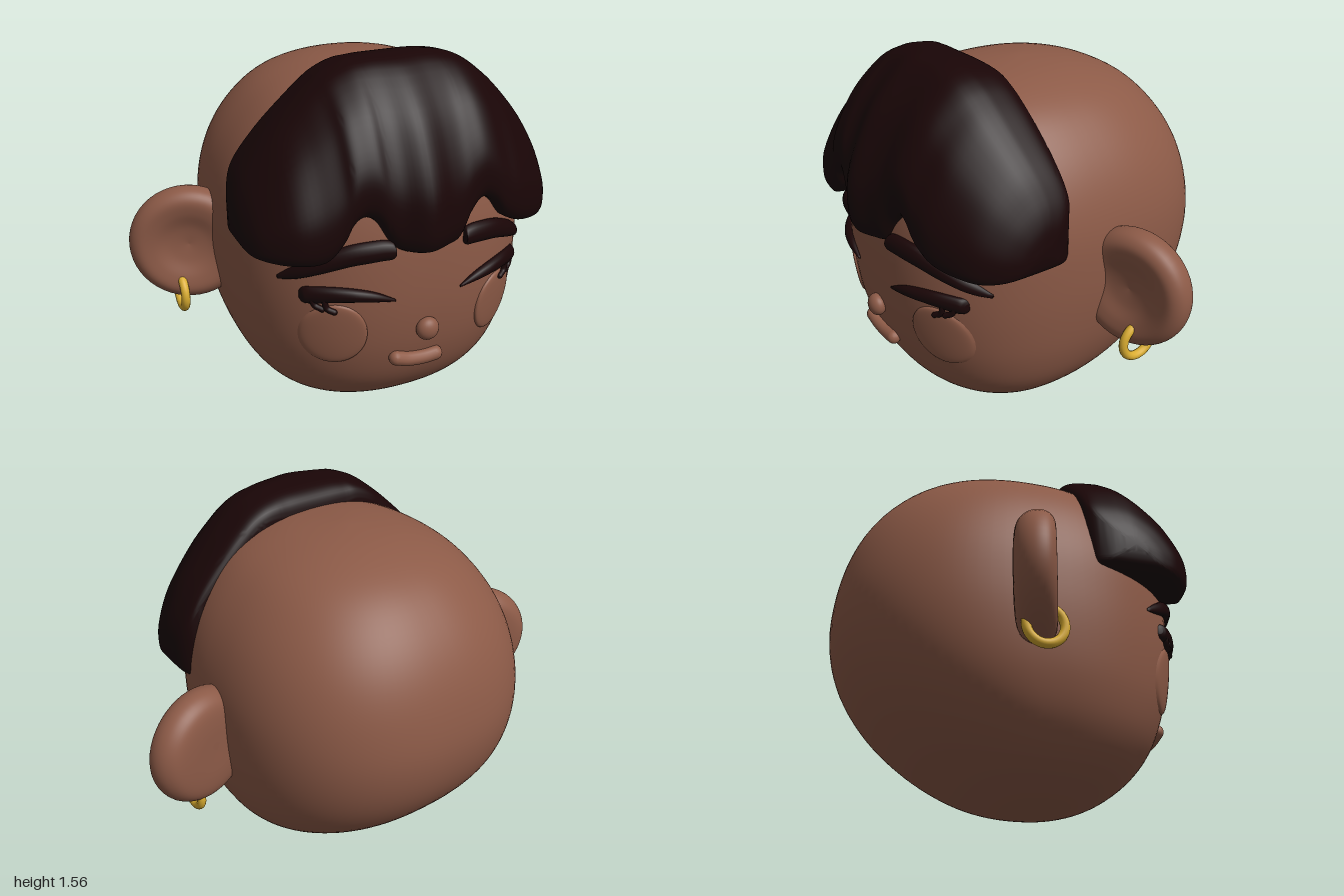
import * as THREE from 'three';
import { mergeVertices, toCreasedNormals } from 'three/addons/utils/BufferGeometryUtils.js';

const mat = (name, color) => Object.assign(new THREE.MeshStandardMaterial({ color }), { name });

// Smooth interpolation through table rows, t from 0 to 1
function sample(rows, t) {
  const last = rows.length - 1, f = Math.min(Math.max(t, 0), 1) * last;
  const i = Math.min(Math.floor(f), last - 1), u = f - i;
  const row = k => rows[Math.min(Math.max(k, 0), last)];
  return rows[0].map((_, c) => {
    const [a, b, d, e] = [row(i - 1)[c], row(i)[c], row(i + 1)[c], row(i + 2)[c]];
    return b + 0.5 * u * (d - a + u * (2 * a - 5 * b + 4 * d - e + u * (3 * (b - d) + e - a)));
  });
}

// Closed skin over rings of [x, y, z]; ends are capped, faces turned outwards
function loft(rings) {
  const mid = r => r.map(() => [0, 1, 2].map(c => r.reduce((s, p) => s + p[c], 0) / r.length));
  const all = [mid(rings[0]), ...rings, mid(rings[rings.length - 1])];
  const n = rings[0].length, idx = [], pts = all.flat();
  for (let i = 0; i < all.length - 1; i++) for (let j = 0; j < n; j++) {
    const a = i * n + j, b = i * n + (j + 1) % n, c = a + n, d = b + n;
    if (i > 0) idx.push(a, b, c);
    if (i < all.length - 2) idx.push(b, d, c);
    if (i === 0) idx.push(a, d, c);
  }
  let vol = 0;
  const [A, B, C] = [new THREE.Vector3(), new THREE.Vector3(), new THREE.Vector3()];
  for (let k = 0; k < idx.length; k += 3) {
    A.set(...pts[idx[k]]); B.set(...pts[idx[k + 1]]); C.set(...pts[idx[k + 2]]);
    vol += A.dot(B.cross(C));
  }
  if (vol < 0) idx.reverse();
  let g = new THREE.BufferGeometry();
  g.setAttribute('position', new THREE.Float32BufferAttribute(pts.flat(), 3));
  g.setIndex(idx);
  g = mergeVertices(g, 1e-5);
  g.computeVertexNormals();
  return g;
}

// Head rings from chin to crown: front z, back z, half width
const HEAD = [
  [0.12, 0.12, 0], [0.315, -0.07, 0.225], [0.475, -0.262, 0.43], [0.588, -0.455, 0.55], [0.655, -0.62, 0.622],
  [0.69, -0.732, 0.66], [0.70, -0.778, 0.675], [0.69, -0.762, 0.665], [0.65, -0.703, 0.615],
  [0.575, -0.6, 0.525], [0.46, -0.457, 0.4], [0.26, -0.25, 0.22], [-0.02, -0.02, 0],
];
function headRing(theta) {
  const [zf, zb, w] = sample(HEAD, theta / Math.PI);
  return { m: (zf + zb) / 2, h: (zf - zb) / 2, w: Math.max(w, 0), n: 2.12 + 0.28 * Math.sin(theta) };
}
function headZ(x, y) {
  const { m, h, w, n } = headRing(Math.acos((0.75 - y) / 0.745));
  return m + h * Math.pow(Math.max(0, 1 - Math.pow(Math.abs(x) / w, n)), 1 / n);
}
function headGeometry() {
  const rings = [];
  for (let i = 0; i <= 64; i++) {
    const theta = Math.PI * i / 64, { m, h, w, n } = headRing(theta), ring = [];
    const pow = v => Math.sign(v) * Math.pow(Math.abs(v), 2 / n);
    for (let j = 0; j < 96; j++) {
      const a = j / 96 * Math.PI * 2;
      ring.push([w * pow(Math.cos(a)), 0.75 - 0.745 * Math.cos(theta), m + h * pow(Math.sin(a))]);
    }
    rings.push(ring);
  }
  return loft(rings);
}

// Fringe columns across x: x, lower edge, upper edge, front z, back z
const FRINGE = [
  [-0.688, 0.94, 1.0, 0.42, 0.33], [-0.672, 0.89, 1.08, 0.5, 0.255], [-0.63, 0.872, 1.175, 0.585, 0.195],
  [-0.53, 0.86, 1.308, 0.665, 0.19], [-0.42, 0.862, 1.418, 0.69, 0.19], [-0.35, 0.925, 1.478, 0.695, 0.19],
  [-0.31, 1.0, 1.507, 0.70, 0.19], [-0.265, 1.025, 1.53, 0.70, 0.19], [-0.215, 1.0, 1.548, 0.71, 0.19],
  [-0.17, 0.92, 1.555, 0.72, 0.19], [-0.12, 0.875, 1.56, 0.735, 0.19], [-0.03, 0.862, 1.563, 0.775, 0.19],
  [0.07, 0.865, 1.563, 0.745, 0.19], [0.13, 0.885, 1.56, 0.73, 0.19], [0.18, 0.97, 1.553, 0.715, 0.19],
  [0.235, 1.025, 1.54, 0.705, 0.19], [0.29, 1.0, 1.517, 0.70, 0.19], [0.35, 0.925, 1.478, 0.695, 0.185],
  [0.44, 0.88, 1.4, 0.675, 0.18], [0.57, 0.855, 1.262, 0.6, 0.175], [0.64, 0.86, 1.155, 0.52, 0.18],
  [0.677, 0.885, 1.065, 0.44, 0.225], [0.69, 0.93, 0.98, 0.37, 0.29],
];
// Side profile of a column: depth and height fractions
const LOCK = [
  [0, 0.13], [0.03, 0.04], [0.12, 0], [0.45, -0.01], [0.88, 0], [0.975, 0.05], [1, 0.17], [0.98, 0.35],
  [0.885, 0.56], [0.74, 0.765], [0.515, 0.952], [0.36, 1], [0.25, 1], [0.11, 0.98], [0.03, 0.935], [0, 0.86],
];
function fringeGeometry() {
  const rings = [];
  for (let i = 0; i <= 110; i++) {
    const [x, b, t, zf, zb] = sample(FRINGE, i / 110), ring = [];
    for (let j = 0; j <= 60; j++) {
      const [d, h] = sample(LOCK, j / 60);
      ring.push([x, b + (t - b) * h, zb + (zf - zb) * d]);
    }
    rings.push(ring);
  }
  return toCreasedNormals(loft(rings), 0.9);
}

// Tapered strip lying on the face; rows are x, y, half height
function strokeGeometry(rows, side, depth) {
  const rings = [];
  for (let i = 0; i <= 32; i++) {
    const [x, y, h] = sample(rows, i / 32), d = Math.min(depth, h), ring = [];
    for (let j = 0; j < 16; j++) {
      const a = j / 16 * Math.PI * 2, py = y + h * Math.cos(a);
      ring.push([side * x, py, headZ(x, py) + 0.006 + d * Math.sin(a)]);
    }
    rings.push(ring);
  }
  return loft(rings);
}

// Thin oval following the face, with a short rolled edge
function cheekGeometry(side) {
  const g = new THREE.RingGeometry(0.001, 1, 48, 24), p = g.attributes.position;
  for (let i = 0; i < p.count; i++) {
    const u = p.getX(i), v = p.getY(i), x = side * 0.365 + 0.122 * u, y = 0.517 + 0.145 * v;
    const r = Math.min(1, Math.hypot(u, v));
    p.setXYZ(i, x, y, headZ(x, y) - 0.004 + 0.016 * Math.sqrt(1 - Math.pow(r, 12)));
  }
  g.computeVertexNormals();
  return g;
}

const EAR = [
  [0, -0.08], [0.12, -0.08], [0.2, -0.068], [0.24, -0.035], [0.254, 0.01], [0.242, 0.055],
  [0.205, 0.08], [0.15, 0.075], [0.08, 0.053], [0, 0.042],
];
const BROW = [[0.153, 0.885, 0.026], [0.165, 0.887, 0.038], [0.22, 0.887, 0.042], [0.32, 0.872, 0.042],
  [0.42, 0.832, 0.037], [0.5, 0.785, 0.025], [0.547, 0.752, 0.008]];
const EYE = [[0.145, 0.67, 0.005], [0.22, 0.693, 0.02], [0.3, 0.706, 0.028], [0.38, 0.708, 0.033],
  [0.45, 0.7, 0.036], [0.475, 0.696, 0.032], [0.485, 0.694, 0.015]];
const LASHES = [[[0.45, 0.69], [0.44, 0.66], [0.415, 0.645]], [[0.41, 0.69], [0.4, 0.65], [0.375, 0.635]]];

export function createModel() {
  const model = new THREE.Group();
  model.name = 'characterHead';
  const skin = mat('skin', 0x8c5a47), blush = mat('blush', 0x8f5c48);
  const hair = mat('darkHair', 0x190506), gold = mat('gold', 0xdaad31);
  const add = (name, geo, material, pos = [0, 0, 0]) => {
    const m = new THREE.Mesh(geo, material);
    m.name = name;
    m.position.set(...pos);
    model.add(m);
    return m;
  };
  // Tube with rounded ends along face points
  const softTube = (name, pts, r, lift, material) => {
    const path = pts.map(([x, y]) => new THREE.Vector3(x, y, headZ(x, y) + lift));
    add(name, new THREE.TubeGeometry(new THREE.CatmullRomCurve3(path), 24, r, 14), material);
    for (const e of [path[0], path[path.length - 1]])
      add(name + 'End', new THREE.SphereGeometry(r, 14, 10), material, e.toArray());
  };

  add('head', headGeometry(), skin);
  add('hairFringe', fringeGeometry(), hair);

  // Nose and mouth
  add('nose', new THREE.SphereGeometry(0.049, 24, 18), skin, [0, 0.512, 0.7]).scale.z = 0.75;
  softTube('mouth', [[-0.12, 0.383], [-0.07, 0.367], [0, 0.359], [0.06, 0.362]], 0.031, 0.012, blush);

  for (const s of [1, -1]) {
    const side = s > 0 ? 'left' : 'right';
    add(side + 'Eyebrow', strokeGeometry(BROW, s, 0.028), hair);
    add(side + 'ClosedEye', strokeGeometry(EYE, s, 0.028), hair);
    for (const l of LASHES) softTube(side + 'Lash', l.map(([x, y]) => [s * x, y]), 0.012, 0.016, hair);
    add(side + 'Cheek', cheekGeometry(s), blush);

    // Dished ear turned outwards
    const profile = [];
    for (let i = 0; i <= 48; i++) {
      const [r, h] = sample(EAR, i / 48);
      profile.push(new THREE.Vector2(i % 48 ? Math.max(r, 0) : 0, h));
    }
    const ear = new THREE.LatheGeometry(profile, 48).rotateX(Math.PI / 2);
    add(side + 'Ear', ear, skin, [s * 0.753, 0.715, -0.08]).rotation.y = s * 0.3;

    const ring = new THREE.TorusGeometry(0.074, 0.019, 14, 40).rotateY(Math.PI / 2);
    add(side + 'Earring', ring, gold, [s * 0.81, 0.491, -0.06]);
  }
  return model;
}
